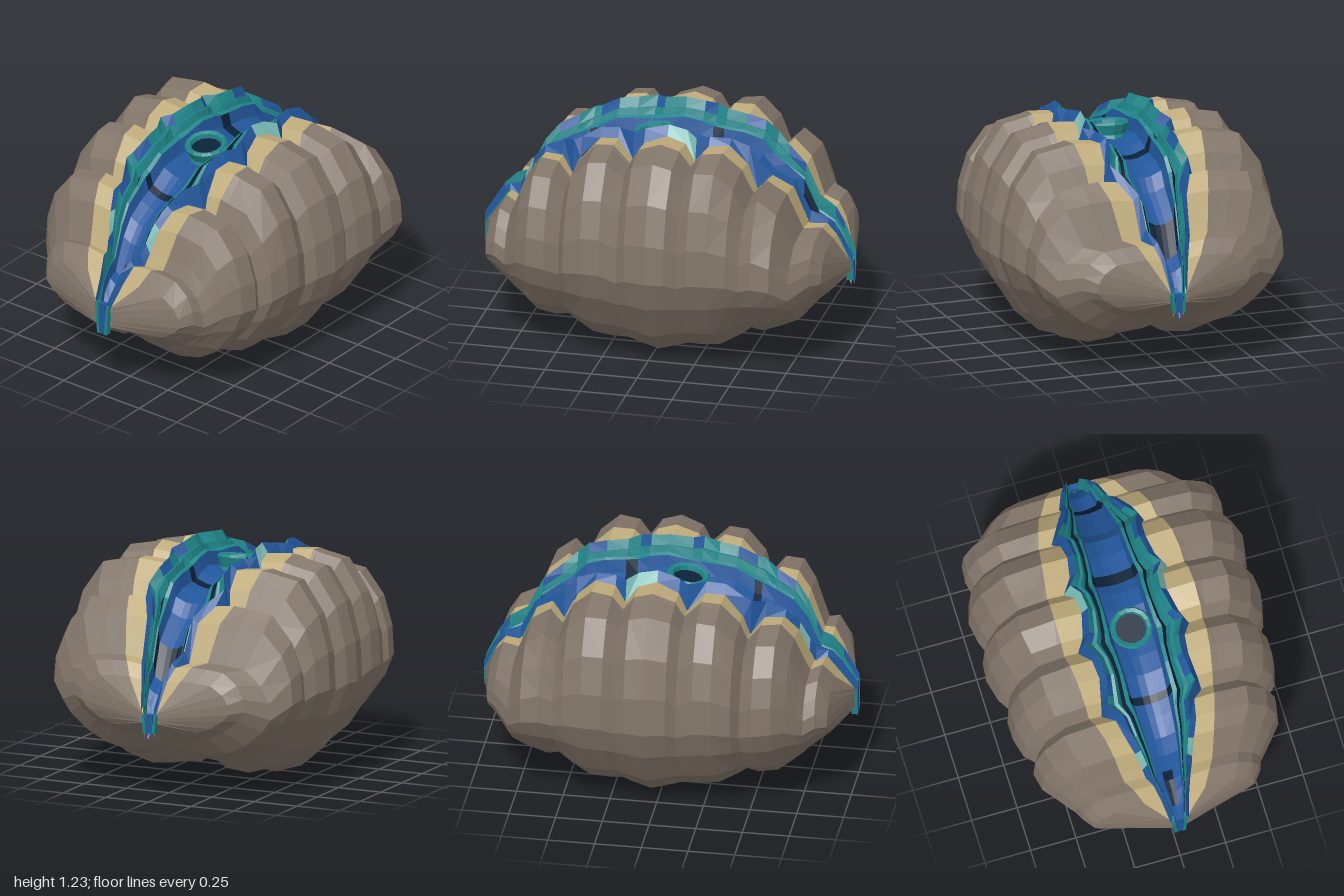
import * as THREE from 'three';

const paint = (name, color) => {
  const m = new THREE.MeshStandardMaterial({ color, side: THREE.DoubleSide });
  m.name = name;
  return m;
};

// Stations along the shell: z, half width, top, bottom, inner lip x
const STATIONS = [
  [0.985, 0.05, 0.53, 0.41, 0.04], [0.90, 0.44, 0.66, 0.37, 0.06], [0.84, 0.49, 0.75, 0.32, 0.08],
  [0.78, 0.51, 0.73, 0.27, 0.10], [0.75, 0.54, 0.80, 0.24, 0.11], [0.70, 0.59, 0.93, 0.20, 0.13],
  [0.63, 0.65, 1.02, 0.15, 0.16], [0.53, 0.67, 1.02, 0.135, 0.18], [0.46, 0.63, 0.94, 0.14, 0.24],
  [0.42, 0.69, 1.04, 0.12, 0.23], [0.32, 0.72, 1.15, 0.06, 0.21], [0.22, 0.72, 1.16, 0.045, 0.22],
  [0.13, 0.69, 1.07, 0.04, 0.27], [0.08, 0.73, 1.15, 0.03, 0.23], [-0.04, 0.76, 1.19, 0.0, 0.20],
  [-0.14, 0.75, 1.16, 0.03, 0.21], [-0.20, 0.71, 1.08, 0.045, 0.25], [-0.26, 0.74, 1.15, 0.045, 0.20],
  [-0.37, 0.76, 1.16, 0.06, 0.18], [-0.47, 0.73, 1.07, 0.12, 0.19], [-0.53, 0.69, 0.94, 0.17, 0.22],
  [-0.60, 0.71, 1.01, 0.16, 0.17], [-0.70, 0.70, 0.93, 0.20, 0.12], [-0.78, 0.61, 0.73, 0.23, 0.11],
  [-0.87, 0.50, 0.72, 0.33, 0.08], [-0.92, 0.43, 0.65, 0.37, 0.06], [-0.99, 0.05, 0.48, 0.42, 0.035],
];

// Valve cross-section as fractions of half width and height
const RIB = [[0, 0.1], [0.2, 0.012], [0.37, 0], [0.57, 0.04], [0.75, 0.14], [0.92, 0.31],
  [1, 0.45], [0.985, 0.63], [0.91, 0.81], [0.75, 0.965], [0.56, 0.99]];

// Height of the mantle rim along z
const RIM = [[-1, 0.5], [-0.9, 0.68], [-0.79, 0.76], [-0.7, 0.95], [-0.56, 1.04], [-0.45, 1.17], [-0.2, 1.19],
  [-0.08, 1.24], [0.13, 1.2], [0.3, 1.2], [0.42, 1.13], [0.6, 1.06], [0.7, 0.95], [0.78, 0.78], [0.87, 0.76], [1, 0.55]];

function sample(table, z) {
  const i = Math.max(1, table.findIndex((p) => p[0] >= z));
  const [a, b] = [table[i - 1], table[i]];
  return THREE.MathUtils.mapLinear(z, a[0], b[0], a[1], b[1]);
}

// Flat-shaded skin over rows of points, split into one mesh per material
function loft(name, rows, side, pick) {
  const group = new THREE.Group();
  group.name = name;
  const buckets = new Map();
  for (let r = 0; r + 1 < rows.length; r++) {
    for (let i = 0; i + 1 < rows[r].length; i++) {
      const mat = pick(i, r);
      if (!buckets.has(mat)) buckets.set(mat, []);
      const a = rows[r][i], b = rows[r][i + 1], c = rows[r + 1][i + 1], d = rows[r + 1][i];
      const corners = side > 0 ? [a, c, b, a, d, c] : [a, b, c, a, c, d];
      for (const [x, y, z] of corners) buckets.get(mat).push(x * side, y, z);
    }
  }
  for (const [mat, points] of buckets) {
    const g = new THREE.BufferGeometry();
    g.setAttribute('position', new THREE.Float32BufferAttribute(points, 3));
    g.computeVertexNormals();
    const mesh = new THREE.Mesh(g, mat);
    mesh.name = `${name} ${mat.name}`;
    group.add(mesh);
  }
  return group;
}

export function createModel() {
  const brown = paint('shell brown', 0x83766a);
  const sand = paint('lip sand', 0xbfac7c);
  const teal = paint('mantle teal', 0x1f8589);
  const blue = paint('mantle blue', 0x22579c);
  const navy = paint('deep navy', 0x0b2138);
  const pale = paint('pale teal', 0x7dbcb8);
  const model = new THREE.Group();
  model.name = 'giant clam';

  // Ribbed valves with a sand band along the opening
  const valveRows = STATIONS.map(([z, w, top, bottom, lip]) => {
    const band = Math.max(lip, Math.min(w * 0.9, 0.385 * Math.sqrt(1 - z * z)));
    const row = RIB.map(([u, v]) => [Math.max(w * u, u > 0.5 ? band : 0), bottom + (top - bottom) * v, z]);
    row.push([band, top, z], [lip, top - 0.015, z], [lip * 0.75, top - 0.14, z]);
    return row;
  });

  // Mantle folds, from the centre floor out over the shell lip
  const mantleRows = STATIONS.map(([z0, , top, , lip]) => {
    const z = THREE.MathUtils.clamp(z0 * 1.012, -1, 1);
    const rim = Math.max(sample(RIM, z0), top + 0.015);
    const floor = 0.105 * Math.sqrt(1 - z0 * z0);
    const across = (t) => THREE.MathUtils.lerp(floor, lip, t);
    return [
      [0, rim - 0.18, z], [floor * 0.4, rim - 0.175, z], [floor, rim - 0.15, z],
      [across(0.15), rim - 0.08, z], [across(0.32), rim - 0.07, z], [across(0.45), rim - 0.1, z],
      [across(0.6), rim - 0.045, z], [across(0.75), rim - 0.05, z], [lip, rim, z],
      [lip + Math.min(0.035, lip * 0.25), top - 0.01, z],
    ];
  });
  const folds = [blue, blue, blue, teal, navy, teal, teal, blue, blue];
  const slitAt = [1, 2, 3];
  const floorGaps = [8, 16, 22];
  const paleAt = [4, 14, 15];
  const mantlePaint = (i, r) => {
    if (i === 0 && slitAt.includes(r)) return navy;
    if (i < 3 && floorGaps.includes(r)) return navy;
    if (i === 8 && paleAt.includes(r)) return pale;
    if (i === 7 && r % 3 !== 0) return teal;
    if (i === 2 && r > 23) return teal;
    return folds[i];
  };

  for (const side of [1, -1]) {
    const label = side > 0 ? 'left' : 'right';
    model.add(loft(`${label} valve`, valveRows, side, (i) => (i < RIB.length ? brown : sand)));
    model.add(loft(`${label} mantle`, mantleRows, side, mantlePaint));
  }

  // Mantle ends closing the gap between the valves
  for (const [name, y, z, h] of [['front mantle end', 0.455, 0.982, 0.18], ['back mantle end', 0.42, -0.982, 0.1]]) {
    const core = new THREE.Mesh(new THREE.BoxGeometry(0.04, h, 0.03), blue);
    core.position.set(0, y, z);
    core.name = name;
    model.add(core);
    for (const side of [1, -1]) {
      const flap = new THREE.Mesh(new THREE.BoxGeometry(0.016, h, 0.034), teal);
      flap.position.set(side * 0.03, y, z);
      flap.rotation.z = -side * 0.08;
      flap.name = `${name} flap`;
      model.add(flap);
    }
  }

  // Siphon: flared tube with a dark opening
  const profile = [[0.125, -0.08], [0.095, 0], [0.115, 0.055], [0.105, 0.068], [0.085, 0.06], [0.075, 0.01]]
    .map(([x, y]) => new THREE.Vector2(x, y));
  const tubeGeometry = new THREE.LatheGeometry(profile, 14).toNonIndexed();
  tubeGeometry.computeVertexNormals();
  const siphon = new THREE.Mesh(tubeGeometry, teal);
  siphon.name = 'siphon';
  const opening = new THREE.Mesh(new THREE.CircleGeometry(0.086, 14), navy);
  opening.name = 'siphon opening';
  opening.rotation.x = -Math.PI / 2;
  opening.position.y = 0.035;
  siphon.add(opening);
  siphon.position.set(0, 1.055, 0.08);
  siphon.rotation.x = 0.15;
  model.add(siphon);

  return model;
}
